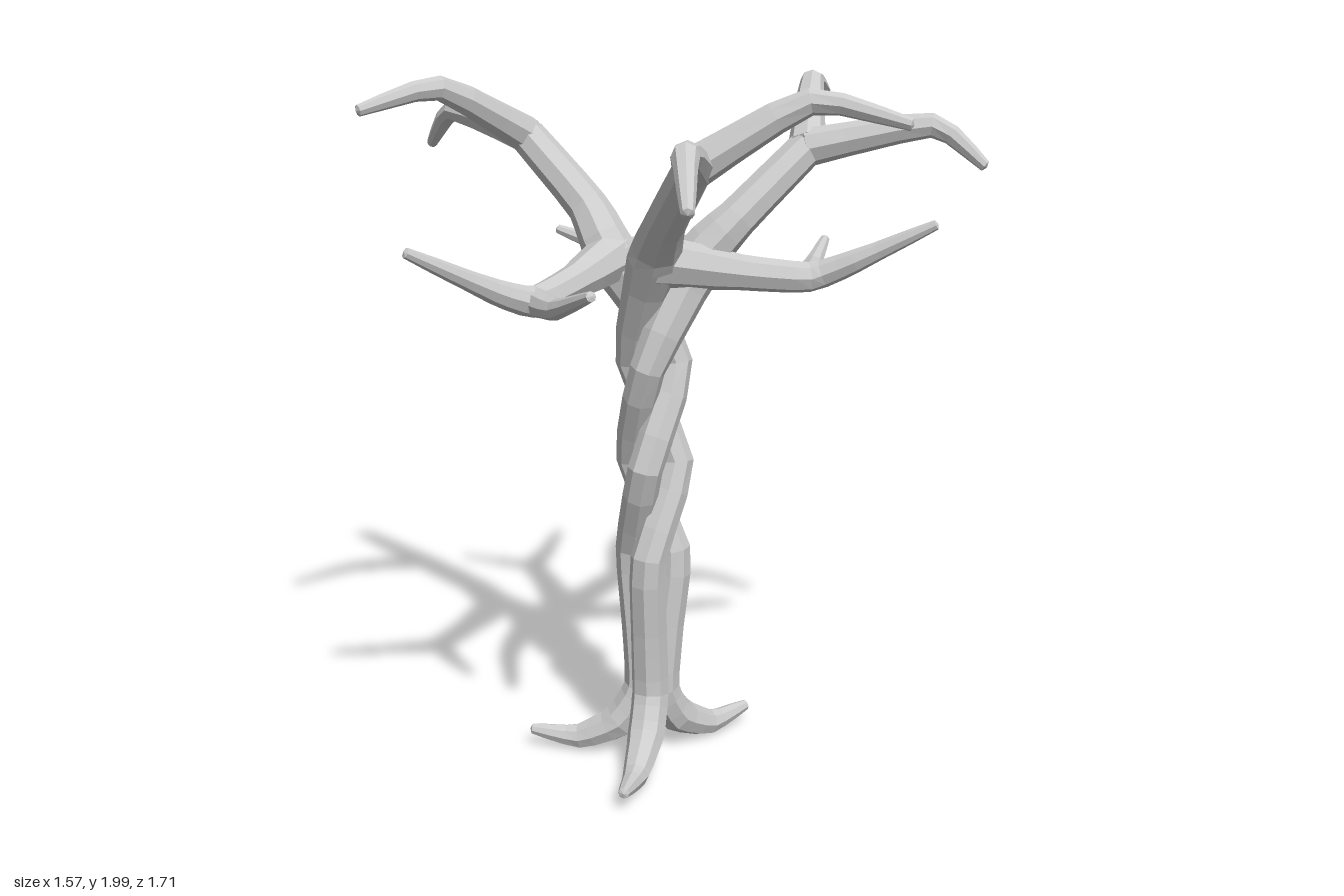
import * as THREE from 'three';

const material = new THREE.MeshStandardMaterial({ color: 0xcccccc, flatShading: true });
const SIDES = 8, STEPS = 3;

// Tapered limb along points [x, y, z, radius], closed at both ends by a blunt point
function limb(name, points) {
  const curve = new THREE.CatmullRomCurve3(
    points.map(p => new THREE.Vector3(p[0], p[1], p[2])), false, 'catmullrom', 0.3);
  const spans = points.length - 1, n = spans * STEPS;
  const pos = [], index = [];
  const normal = new THREE.Vector3(), side = new THREE.Vector3(), v = new THREE.Vector3();
  const first = curve.getTangent(0);
  normal.set(Math.abs(first.y) > 0.9 ? 1 : 0, Math.abs(first.y) > 0.9 ? 0 : 1, 0);
  const radiusAt = i => {
    const k = Math.min(Math.floor(i / STEPS), spans - 1);
    return THREE.MathUtils.lerp(points[k][3], points[k + 1][3], i / STEPS - k);
  };
  for (let i = 0; i <= n; i++) {
    const c = curve.getPoint(i / n), t = curve.getTangent(i / n), r = radiusAt(i);
    normal.addScaledVector(t, -normal.dot(t)).normalize();
    side.crossVectors(t, normal);
    for (let j = 0; j < SIDES; j++) {
      const a = j / SIDES * Math.PI * 2;
      v.copy(c).addScaledVector(normal, Math.cos(a) * r).addScaledVector(side, Math.sin(a) * r);
      pos.push(v.x, v.y, v.z);
    }
  }
  const start = pos.length / 3, end = start + 1;
  [[0, -0.4], [1, 0.4]].forEach(([u, k]) => {
    v.copy(curve.getPoint(u)).addScaledVector(curve.getTangent(u), k * radiusAt(u * n));
    pos.push(v.x, v.y, v.z);
  });
  for (let j = 0; j < SIDES; j++) {
    const k = (j + 1) % SIDES, last = n * SIDES;
    for (let i = 0; i < n; i++) {
      const a = i * SIDES + j, b = i * SIDES + k;
      index.push(a, b, b + SIDES, a, b + SIDES, a + SIDES);
    }
    index.push(start, k, j, end, last + j, last + k);
  }
  const geometry = new THREE.BufferGeometry();
  geometry.setAttribute('position', new THREE.Float32BufferAttribute(pos, 3));
  geometry.setIndex(index);
  geometry.computeVertexNormals();
  const mesh = new THREE.Mesh(geometry, material);
  mesh.name = name;
  return mesh;
}

// Three stems: root tip, hub, rise to the upper fork, two drooping upper tips, lower bough and its twig
const STEMS = [
  {
    name: 'right', angle: 0, root: [0.37, 0.01], hub: [0.12, 1.51, 0.1],
    rise: [0.21, 1.62, 0.145], fork: [0.42, 1.805, 0.18],
    high: [[0.58, 1.97, -0.01], [0.76, 1.92, -0.17]],
    low: [[0.68, 1.87, 0.4], [0.77, 1.765, 0.52]],
    bough: [[0.18, 1.475, -0.14], [0.24, 1.455, -0.38], [0.35, 1.5, -0.46], [0.51, 1.61, -0.57]],
    twig: [[0.15, 1.465, -0.48], [0.05, 1.51, -0.58]]
  },
  {
    name: 'front', angle: 120, root: [-0.26, 0.3], hub: [-0.04, 1.52, 0.11],
    rise: [-0.08, 1.63, 0.22], fork: [-0.13, 1.805, 0.43],
    high: [[0.11, 1.97, 0.59], [0.28, 1.92, 0.77]],
    low: [[-0.32, 1.87, 0.68], [-0.42, 1.765, 0.84]],
    bough: [[0.2, 1.475, 0.18], [0.4, 1.45, 0.23], [0.49, 1.5, 0.32], [0.64, 1.61, 0.48]],
    twig: [[0.5, 1.46, 0.12], [0.62, 1.51, 0.02]]
  },
  {
    name: 'back', angle: 240, root: [-0.28, -0.2], hub: [-0.075, 1.51, -0.05],
    rise: [-0.09, 1.64, -0.16], fork: [-0.17, 1.825, -0.36],
    high: [[-0.46, 1.97, -0.325], [-0.7, 1.92, -0.32]],
    low: [[-0.235, 1.875, -0.7], [-0.24, 1.765, -0.85]],
    bough: [[-0.25, 1.475, 0.05], [-0.42, 1.45, 0.13], [-0.54, 1.49, 0.13], [-0.78, 1.61, 0.13]],
    twig: [[-0.435, 1.455, 0.27], [-0.445, 1.52, 0.46]]
  }
];

// Twisted trunk levels: height, distance from the axis, turn in degrees, thickness
const LEVELS = [
  [0.22, 0.032, 8, 0.055], [0.42, 0.045, 12, 0.054], [0.65, 0.066, 10, 0.053],
  [0.92, 0.074, -103, 0.05], [1.21, 0.07, -227, 0.05]
];

export function createModel() {
  const model = new THREE.Group();
  model.name = 'twistedTree';
  for (const s of STEMS) {
    const stem = new THREE.Group();
    stem.name = s.name + 'Stem';
    const onTrunk = (radius, degrees) => {
      const a = THREE.MathUtils.degToRad(degrees);
      return [0.003 + radius * Math.cos(a), 0.033 + radius * Math.sin(a)];
    };
    // Root flare, from the tip inwards
    const [bx, bz] = onTrunk(0.02, s.angle);
    const path = [[0.99, 0.064, 0.016], [0.58, 0.047, 0.038], [0.22, 0.108, 0.055]].map(
      ([f, y, r]) => [bx + (s.root[0] - bx) * f, y, bz + (s.root[1] - bz) * f, r]);
    // Winding strand up to the hub, then the upper branch
    for (const [y, d, turn, r] of LEVELS) {
      const [x, z] = onTrunk(d, s.angle + turn);
      path.push([x, y, z, r]);
    }
    path.push([...s.hub, 0.075], [...s.rise, 0.058], [...s.fork, 0.052]);
    stem.add(limb('strand', path));
    // Upper tips and lower bough
    for (const [name, tip] of [['highTip', s.high], ['lowTip', s.low]]) {
      stem.add(limb(name, [[...s.fork, 0.054], [...tip[0], 0.034], [...tip[1], 0.016]]));
    }
    const radii = [0.05, 0.043, 0.033, 0.014];
    stem.add(limb('bough', [[...s.hub, 0.075], ...s.bough.map((p, i) => [...p, radii[i]])]));
    stem.add(limb('twig', [[...s.bough[1], 0.042], [...s.twig[0], 0.028], [...s.twig[1], 0.014]]));
    model.add(stem);
  }
  return model;
}
